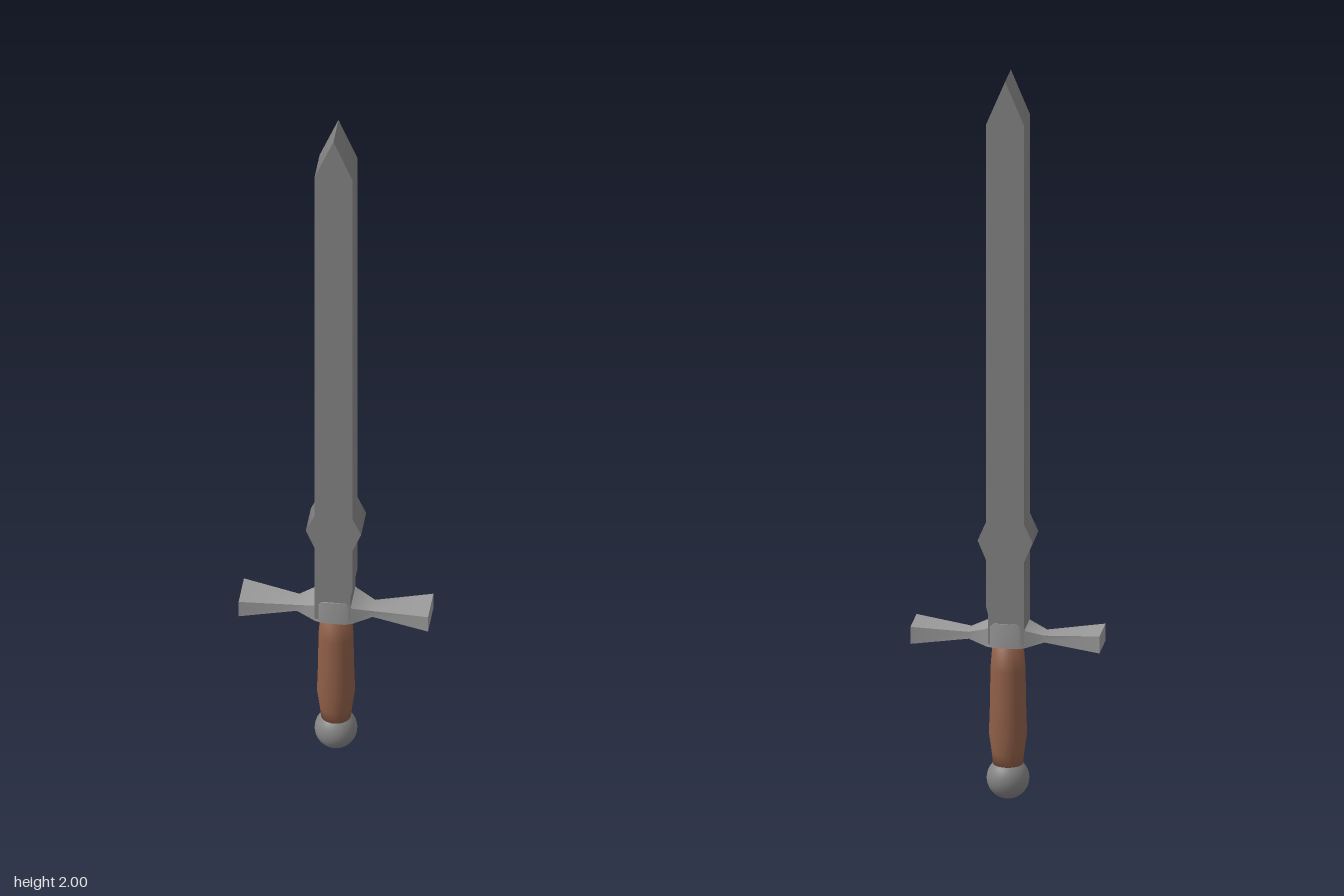
import * as THREE from 'three';
import { toCreasedNormals } from 'three/addons/utils/BufferGeometryUtils.js';

export function createModel() {
  const group = new THREE.Group();
  const steel = new THREE.MeshStandardMaterial({ color: 0x838383 });
  const guardSteel = new THREE.MeshStandardMaterial({ color: 0x9a9a9a });
  const leather = new THREE.MeshStandardMaterial({ color: 0x905f48 });
  const crease = Math.PI / 3;

  const add = (name, geometry, material) => {
    const mesh = new THREE.Mesh(geometry, material);
    mesh.name = name;
    group.add(mesh);
    return mesh;
  };

  // Blade: thick outline with side lugs and a wedge tip running front to back
  const side = [[0.045, 0.44], [0.045, 0.52], [0.05, 0.54], [0.05, 0.67],
    [0.073, 0.725], [0.05, 0.775], [0.05, 1.88]];
  const outline = [...side, [0, 2], ...side.map(([x, y]) => [-Math.max(x, 0.05), y]).reverse()];
  const bladeShape = new THREE.Shape(outline.map(([x, y]) => new THREE.Vector2(x, y)));
  const blade = new THREE.ExtrudeGeometry(bladeShape, { depth: 0.098, bevelEnabled: false });
  blade.translate(0, 0, -0.049);
  add('blade', toCreasedNormals(blade, crease), steel);

  // Crossguard: a box pinched beside the centre and flared at the ends
  // Each station holds x, lower y, upper y and half depth
  const stations = [[0.25, 0.43, 0.477, 0.052], [0.1, 0.443, 0.462, 0.025],
    [0.05, 0.431, 0.48, 0.046], [0.03, 0.43, 0.497, 0.052]];
  const guard = new THREE.BoxGeometry(7, 1, 2, 7, 1, 1);
  const pos = guard.attributes.position;
  for (let i = 0; i < pos.count; i++) {
    const column = Math.round(pos.getX(i) + 3.5);
    const [x, low, high, halfDepth] = stations[Math.min(column, 7 - column)];
    pos.setXYZ(i, column < 4 ? -x : x, pos.getY(i) < 0 ? low : high, pos.getZ(i) * halfDepth);
  }
  add('crossguard', toCreasedNormals(guard, crease), guardSteel);

  // Grip: gently swelling round handle
  const gripProfile = [[0, 0.09], [0.039, 0.09], [0.043, 0.13], [0.05, 0.18], [0.047, 0.27],
    [0.046, 0.36], [0.04, 0.435], [0, 0.435]];
  add('grip', new THREE.LatheGeometry(gripProfile.map(([r, y]) => new THREE.Vector2(r, y)), 32), leather);

  // Pommel
  add('pommel', new THREE.SphereGeometry(0.056, 32, 20), steel).position.y = 0.056;

  return group;
}
